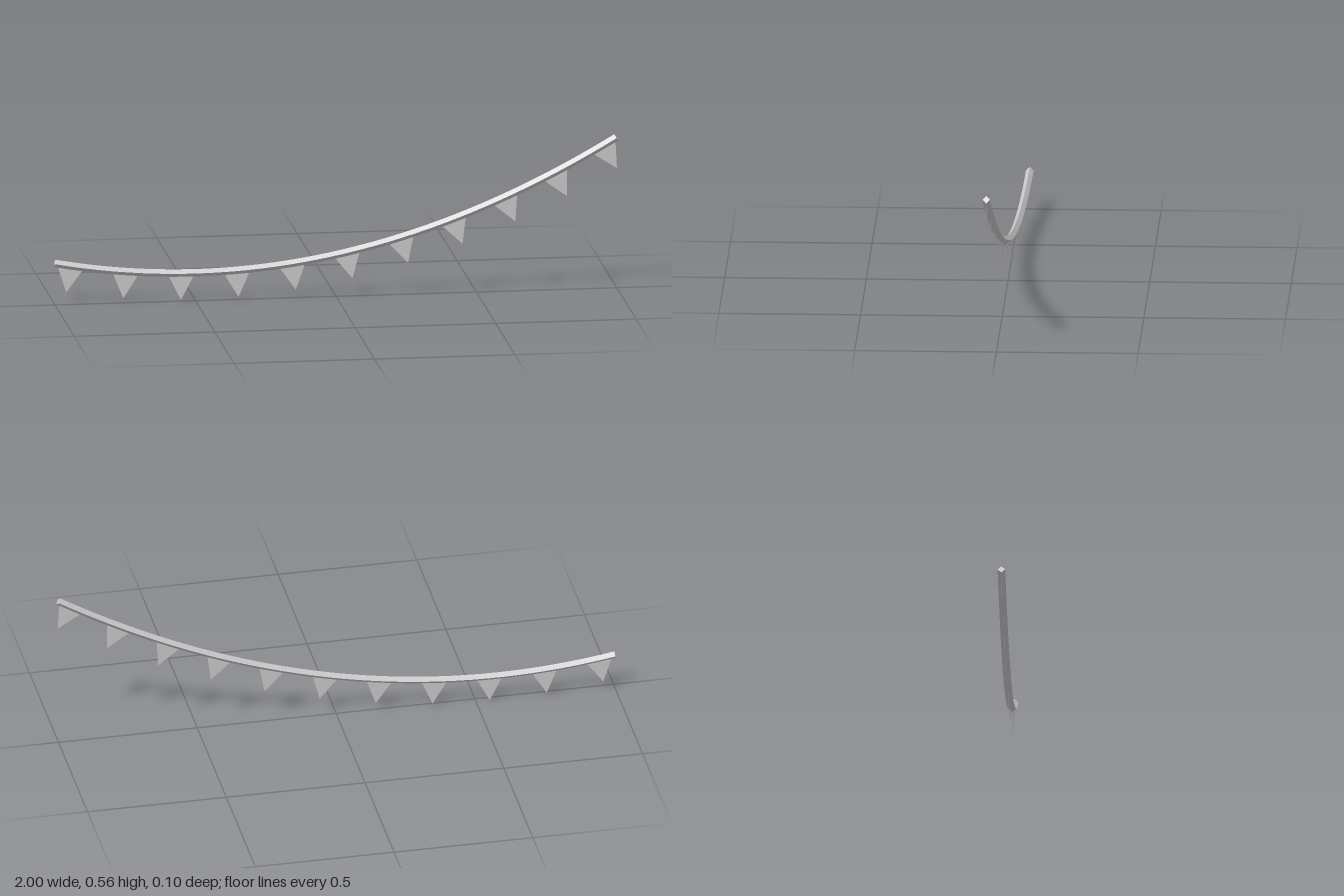
import * as THREE from 'three';

const ROPE_RADIUS = 0.0135;
const FLAG_COUNT = 11;
const FLAG_WIDTH = 0.1;
const FLAG_LENGTH = 0.097;

export function createModel() {
  const group = new THREE.Group();
  group.name = 'bunting';
  const ropeMaterial = new THREE.MeshStandardMaterial({ color: 0xcccccc, flatShading: true });
  const flagMaterial = new THREE.MeshStandardMaterial({ color: 0xcccccc, side: THREE.DoubleSide });

  // Sagging line hung between a low and a high end
  const curve = new THREE.QuadraticBezierCurve3(
    new THREE.Vector3(-0.997, 0.151, -0.0365),
    new THREE.Vector3(-0.002, -0.038, 0),
    new THREE.Vector3(0.993, 0.5615, 0.0365)
  );

  // Four-sided rope, standing on its edge
  const rope = new THREE.Mesh(new THREE.TubeGeometry(curve, 40, ROPE_RADIUS, 4), ropeMaterial);
  rope.name = 'rope';
  group.add(rope);

  // Caps closing both rope ends
  for (const [u, sign, name] of [[0, -1, 'ropeEndRight'], [1, 1, 'ropeEndLeft']]) {
    const cap = new THREE.Mesh(new THREE.CircleGeometry(ROPE_RADIUS, 4), ropeMaterial);
    cap.name = name;
    cap.position.copy(curve.getPointAt(u));
    cap.lookAt(cap.position.clone().addScaledVector(curve.getTangentAt(u), sign));
    group.add(cap);
  }

  // Triangular pennants, evenly spaced and square to the rope
  const pennant = new THREE.ShapeGeometry(new THREE.Shape([
    new THREE.Vector2(-FLAG_WIDTH / 2, 0),
    new THREE.Vector2(0, -FLAG_LENGTH),
    new THREE.Vector2(FLAG_WIDTH / 2, 0),
  ]));
  const up = new THREE.Vector3(0, 1, 0);
  for (let i = 0; i < FLAG_COUNT; i++) {
    const u = THREE.MathUtils.lerp(0.028, 0.974, i / (FLAG_COUNT - 1));
    const along = curve.getTangentAt(u);
    const facing = along.clone().cross(up).normalize();
    const across = facing.clone().cross(along);
    const flag = new THREE.Mesh(pennant, flagMaterial);
    flag.name = `pennant${i + 1}`;
    flag.quaternion.setFromRotationMatrix(new THREE.Matrix4().makeBasis(along, across, facing));
    flag.position.copy(curve.getPointAt(u));
    group.add(flag);
  }
  return group;
}
